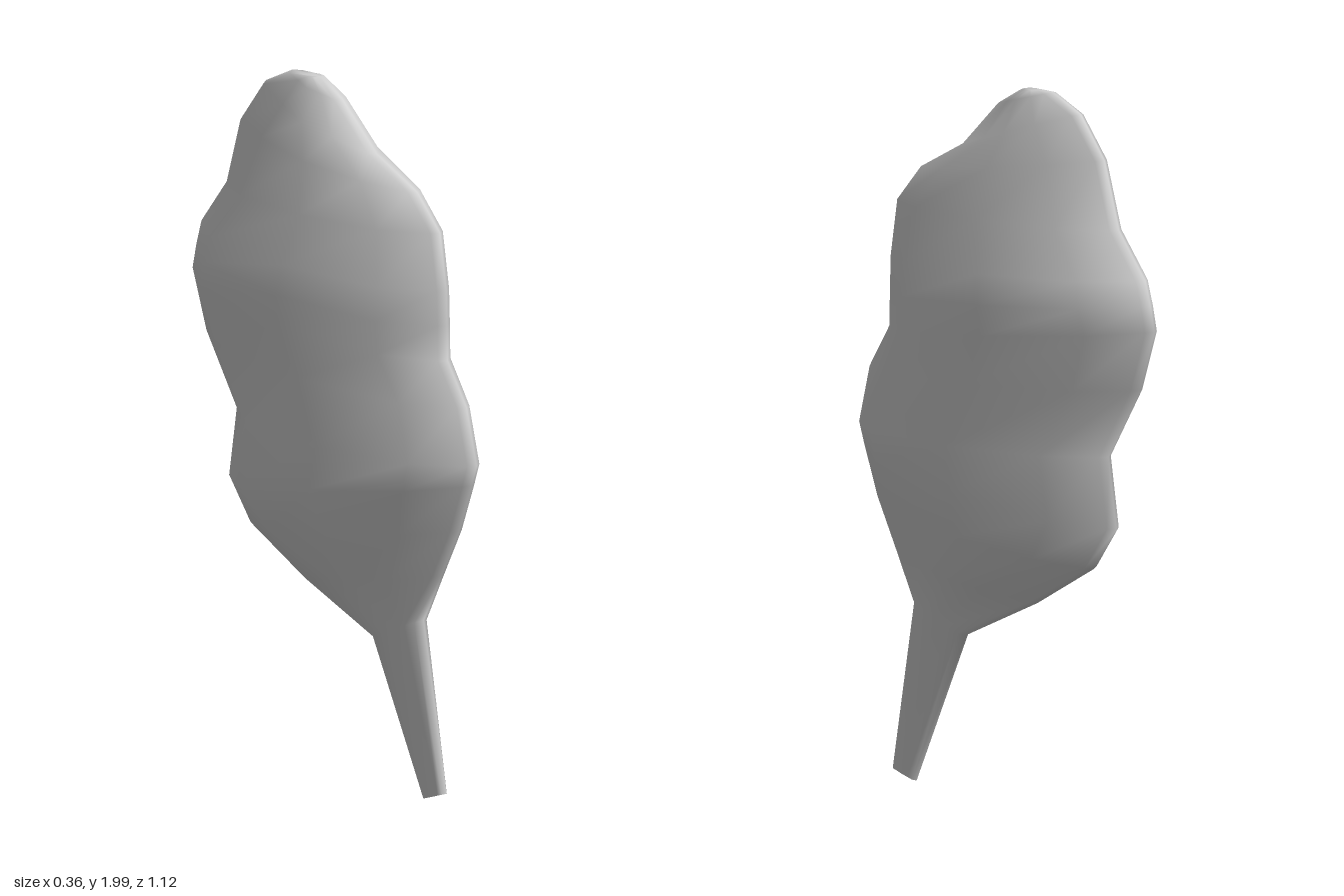
import * as THREE from 'three';

// Rows from stem foot to crown: front edge z, y; back edge z, y; half thickness
const ROWS = [
  [0.44, 0.04, 0.35, 0.01, 0.012],
  [0.35, 0.52, 0.16, 0.44, 0.028],
  [0.42, 0.66, -0.11, 0.56, 0.09],
  [0.49, 0.80, -0.325, 0.68, 0.13],
  [0.54, 0.94, -0.41, 0.80, 0.168],
  [0.56, 1.00, -0.38, 1.00, 0.168],
  [0.52, 1.16, -0.50, 1.20, 0.162],
  [0.445, 1.28, -0.555, 1.37, 0.174],
  [0.443, 1.38, -0.54, 1.44, 0.182],
  [0.44, 1.48, -0.52, 1.51, 0.17],
  [0.415, 1.64, -0.42, 1.64, 0.14],
  [0.325, 1.74, -0.365, 1.83, 0.108],
  [0.165, 1.82, -0.275, 1.95, 0.078],
  [0.03, 1.95, -0.17, 2.00, 0.045],
  [-0.06, 2.00, -0.11, 2.00, 0.022],
];

// One closed lens-shaped ring: thin rim, shoulder, middle, shoulder, rim, then mirrored
function ring([fz, fy, bz, by, half]) {
  const width = Math.hypot(fz - bz, fy - by);
  const lip = Math.min(0.1, 0.014 / width);
  const shoulder = Math.min(0.28, 0.15 / width);
  const rim = Math.min(0.024, half * 0.85);
  const bulge = Math.max(rim, half * 0.73);
  const side = [
    [0, 0], [lip, rim], [shoulder, bulge], [0.5, half],
    [1 - shoulder, bulge], [1 - lip, rim], [1, 0],
  ];
  const loop = [...side, ...side.slice(1, -1).reverse().map(([t, x]) => [t, -x])];
  return loop.map(([t, x]) => new THREE.Vector3(
    x, THREE.MathUtils.lerp(fy, by, t), THREE.MathUtils.lerp(fz, bz, t)));
}

// Skin the rings into one smooth surface, closed at the crown
function leafGeometry(rings) {
  const n = rings[0].length;
  const points = rings.flat();
  const index = [];
  for (let r = 0; r < rings.length - 1; r++) {
    for (let i = 0; i < n; i++) {
      const a = r * n + i, b = r * n + (i + 1) % n;
      index.push(a, b, b + n, a, b + n, a + n);
    }
  }
  const last = (rings.length - 1) * n;
  for (let i = 1; i < n - 1; i++) index.push(last, last + i, last + i + 1);
  const geometry = new THREE.BufferGeometry().setFromPoints(points);
  geometry.setIndex(index);
  geometry.computeVertexNormals();
  return geometry;
}

// Flat cut closing the foot of the stem
function cutGeometry(loop) {
  const geometry = new THREE.BufferGeometry().setFromPoints(loop);
  const index = [];
  for (let i = 1; i < loop.length - 1; i++) index.push(0, i + 1, i);
  geometry.setIndex(index);
  geometry.computeVertexNormals();
  return geometry;
}

export function createModel() {
  const group = new THREE.Group();
  group.name = 'leaf';
  const material = new THREE.MeshStandardMaterial({ color: 0xcccccc });
  const rings = ROWS.map(ring);

  const blade = new THREE.Mesh(leafGeometry(rings), material);
  blade.name = 'bladeAndStem';
  const cut = new THREE.Mesh(cutGeometry(rings[0]), material);
  cut.name = 'stemCut';

  group.add(blade, cut);
  return group;
}
